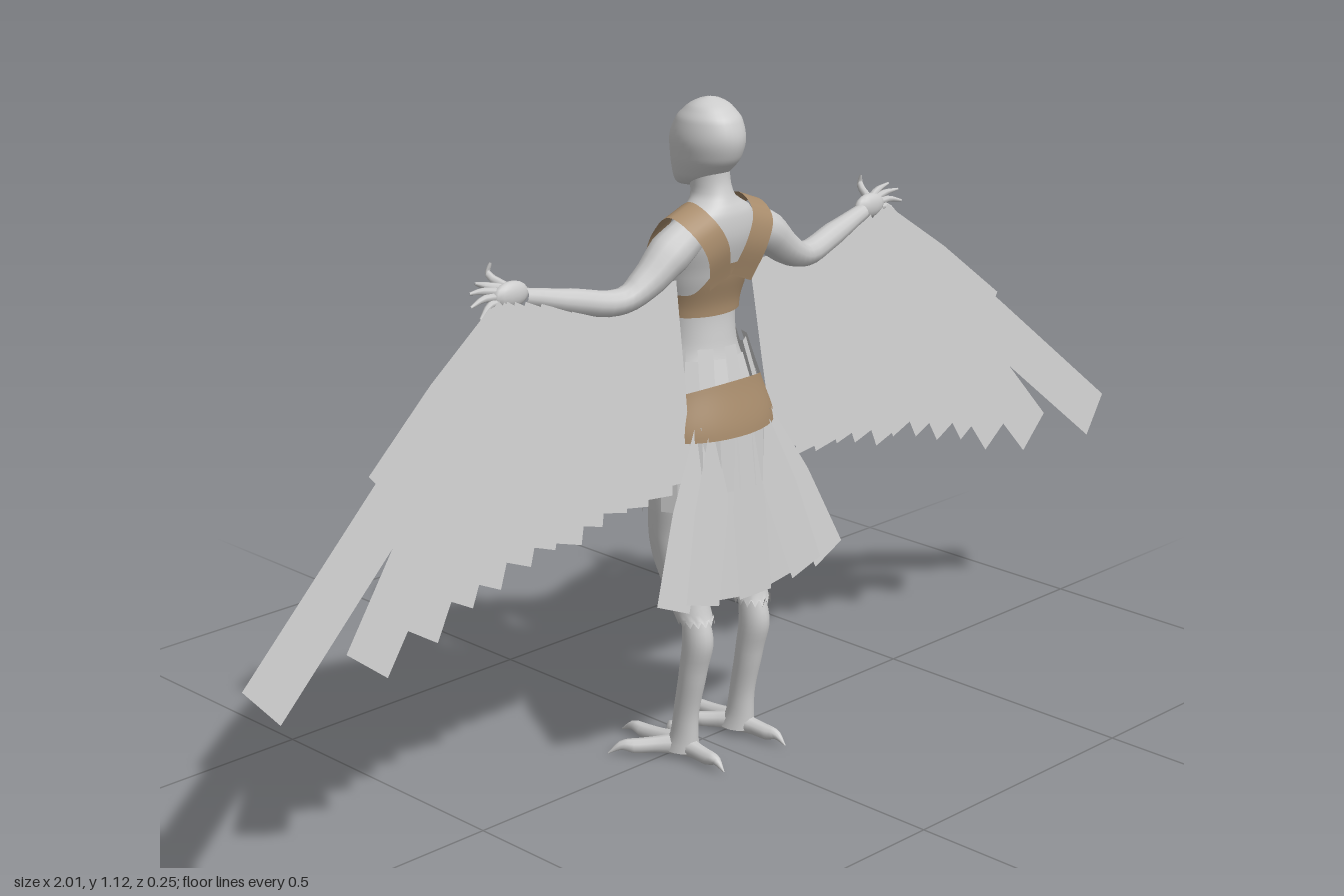
import * as THREE from 'three';
import { mergeGeometries, mergeVertices } from 'three/addons/utils/BufferGeometryUtils.js';

const V = (x, y, z) => new THREE.Vector3(x, y, z);
const grey = new THREE.MeshStandardMaterial({ color: 0xcccccc });
const thin = new THREE.MeshStandardMaterial({ color: 0xcccccc, side: THREE.DoubleSide });
const leather = new THREE.MeshStandardMaterial({ color: 0xa88c6c, side: THREE.DoubleSide });

function add(parent, name, geometry, material = grey) {
  const mesh = new THREE.Mesh(geometry, material);
  mesh.name = name;
  parent.add(mesh);
  return mesh;
}

// Smooth grid surface from a rule fn(u, v), u and v in 0..1
function surface(fn, nu, nv) {
  const pos = [], idx = [];
  for (let j = 0; j <= nv; j++)
    for (let i = 0; i <= nu; i++) pos.push(...fn(i / nu, j / nv).toArray());
  for (let j = 0; j < nv; j++)
    for (let i = 0; i < nu; i++) {
      const a = j * (nu + 1) + i, c = a + nu + 1;
      idx.push(a, c, a + 1, a + 1, c, c + 1);
    }
  const raw = new THREE.BufferGeometry();
  raw.setAttribute('position', new THREE.Float32BufferAttribute(pos, 3));
  raw.setIndex(idx);
  const g = mergeVertices(raw, 1e-5);
  g.computeVertexNormals();
  return g;
}

// Smoothly interpolated cross-section: [y, centre x, half width, z front, z back]
function sectionAt(secs, y) {
  let i = 0;
  while (i < secs.length - 2 && y > secs[i + 1][0]) i++;
  const at = k => secs[Math.min(Math.max(k, 0), secs.length - 1)];
  const p = at(i), q = at(i + 1), t = THREE.MathUtils.clamp((y - p[0]) / (q[0] - p[0]), 0, 1);
  return p.map((a, k) => {
    if (k === 0) return y;
    const slope = (m, n) => (n[k] - m[k]) / Math.max(n[0] - m[0], 1e-4) * (q[0] - p[0]) * 0.8;
    const m0 = i ? slope(at(i - 1), q) : q[k] - a;
    const m1 = i < secs.length - 2 ? slope(p, at(i + 2)) : q[k] - a;
    const t2 = t * t, t3 = t2 * t;
    return (2 * t3 - 3 * t2 + 1) * a + (t3 - 2 * t2 + t) * m0 + (3 * t2 - 2 * t3) * q[k] + (t3 - t2) * m1;
  });
}
function ringPoint(secs, y, angle, grow = 0) {
  const [, cx, hx, z0, z1] = sectionAt(secs, y);
  return V(cx + (hx + grow) * Math.cos(angle), y, (z0 + z1) / 2 + ((z1 - z0) / 2 + grow) * Math.sin(angle));
}
function loft(secs, nu = 28, nv = 36, jag = 0) {
  const y0 = secs[0][0], y1 = secs[secs.length - 1][0];
  return surface((u, v) => {
    const p = ringPoint(secs, y0 + (y1 - y0) * v, u * Math.PI * 2);
    if (v === 0) p.y += jag * (Math.round(u * nu) % 2);
    return p;
  }, nu, nv);
}

// Tapered round limb through points, with a radius for each point
function limb(points, radii, sides = 12, steps = 20) {
  const curve = new THREE.CatmullRomCurve3(points.map(p => V(...p)));
  const f = curve.computeFrenetFrames(steps);
  return surface((u, v) => {
    const s = Math.min(v * (radii.length - 1), radii.length - 1.0001), k = Math.floor(s);
    const r = THREE.MathUtils.lerp(radii[k], radii[k + 1], s - k), a = u * Math.PI * 2, i = Math.round(v * steps);
    return curve.getPoint(v).addScaledVector(f.normals[i], r * Math.cos(a))
      .addScaledVector(f.binormals[i], -r * Math.sin(a));
  }, sides, steps);
}

// Flat square-ended feather
function feather(root, tip, w0, w1, facing) {
  const side = tip.clone().sub(root).cross(facing).normalize();
  return surface((u, v) => root.clone().lerp(tip, v)
    .addScaledVector(side, (u - 0.5) * THREE.MathUtils.lerp(w0, w1, Math.min(1, v * 2))), 1, 2);
}

const torso = [
  [0.46, 0, 0.08, -0.035, 0.06], [0.52, 0, 0.108, -0.052, 0.08], [0.58, 0, 0.11, -0.058, 0.08],
  [0.66, 0, 0.085, -0.064, 0.062], [0.72, 0, 0.068, -0.066, 0.047], [0.78, 0, 0.07, -0.06, 0.042],
  [0.84, 0, 0.082, -0.05, 0.058], [0.9, 0, 0.09, -0.03, 0.074], [0.94, 0, 0.07, -0.012, 0.072],
  [0.965, 0, 0.036, -0.014, 0.06], [0.99, 0, 0.031, -0.018, 0.052], [1.03, 0, 0.03, -0.015, 0.05]];
const head = [
  [0.974, 0, 0.004, -0.045, -0.035], [0.98, 0, 0.024, -0.053, 0.005], [1.0, 0, 0.04, -0.056, 0.045],
  [1.03, 0, 0.05, -0.058, 0.072], [1.06, 0, 0.054, -0.057, 0.08], [1.09, 0, 0.049, -0.043, 0.072],
  [1.11, 0, 0.036, -0.022, 0.053], [1.12, 0, 0.022, -0.004, 0.034], [1.125, 0, 0.001, 0.013, 0.016]];
const thigh = [
  [0.25, 0.068, 0.03, 0.022, 0.083], [0.3, 0.068, 0.031, -0.012, 0.07], [0.36, 0.068, 0.036, -0.04, 0.054],
  [0.4, 0.066, 0.041, -0.047, 0.048], [0.46, 0.062, 0.048, -0.048, 0.06], [0.54, 0.056, 0.053, -0.047, 0.074]];
const shin = [
  [0.012, 0.068, 0.028, -0.016, 0.05], [0.04, 0.068, 0.022, -0.002, 0.05], [0.08, 0.068, 0.02, 0.005, 0.052],
  [0.16, 0.068, 0.023, 0.02, 0.07], [0.22, 0.068, 0.024, 0.028, 0.085], [0.28, 0.068, 0.018, 0.02, 0.07]];

// Torso surface with the chest shaped in
function bodyPoint(y, angle, grow = 0) {
  const p = ringPoint(torso, y, angle, grow);
  if (Math.sin(angle) < 0)
    p.z -= 0.034 * Math.exp(-(((Math.abs(p.x) - 0.037) / 0.028) ** 2) - ((y - 0.84) / 0.035) ** 2);
  return p;
}
// Close-fitting garment between two edge heights that depend on the angle
const garment = (bottom, top, grow) => surface((u, v) => {
  const a = u * Math.PI * 2;
  return bodyPoint(THREE.MathUtils.lerp(bottom(a), top(a), v), a, grow);
}, 64, 12);

function makeSide() {
  const side = new THREE.Group();
  // Arm and hand
  add(side, 'arm', limb([[0.06, 0.915, 0.032], [0.11, 0.888, 0.034], [0.165, 0.848, 0.032], [0.215, 0.828, 0.027],
    [0.3, 0.843, 0.012], [0.39, 0.866, 0]], [0.032, 0.036, 0.027, 0.022, 0.021, 0.014]));
  const palm = add(side, 'palm', new THREE.SphereGeometry(1, 14, 10));
  palm.scale.set(0.035, 0.022, 0.014);
  palm.position.set(0.413, 0.872, -0.004);
  const fingers = [[0.475, 0.9, -0.015], [0.492, 0.888, -0.008], [0.495, 0.868, -0.002], [0.48, 0.847, 0.002], [0.425, 0.92, -0.035]]
    .map(([x, y, z], i) => limb([[0.415, 0.882 - i % 4 * 0.007, -0.005],
      [(x + 0.43) / 2, (y + 0.877) / 2 + 0.003, z - 0.004], [x, y, z]], [0.008, 0.006, 0.002], 7, 6));
  add(side, 'fingers', mergeGeometries(fingers));

  // Leg, foot and clawed toes
  add(side, 'thigh', loft(thigh, 28, 26, 0.014), thin);
  add(side, 'shin', loft(shin, 20, 20));
  const toes = [[0.16, -0.068], [0.072, -0.125], [0.012, -0.07], [0.075, 0.125]].map(([x, z]) => {
    const cx = 0.068, cz = 0.018, mix = (t, y) => [cx + (x - cx) * t, y, cz + (z - cz) * t];
    return limb([mix(0, 0.02), mix(0.35, 0.018), mix(0.65, 0.016), mix(0.8, 0.018), mix(1, 0.003)],
      [0.02, 0.014, 0.013, 0.009, 0.001], 9, 14);
  });
  add(side, 'toes', mergeGeometries(toes));

  // Wing feathers hang from the arm and fan outwards
  const roots = new THREE.CatmullRomCurve3([V(0.12, 0.84, 0), V(0.21, 0.815, 0), V(0.31, 0.835, 0), V(0.39, 0.85, 0), V(0.425, 0.845, 0)]);
  const tips = [[0.135, 0.515], [0.185, 0.505], [0.235, 0.5], [0.285, 0.505], [0.335, 0.495], [0.385, 0.48], [0.435, 0.485],
    [0.49, 0.475], [0.55, 0.455], [0.61, 0.445], [0.685, 0.415], [0.785, 0.395], [0.975, 0.385]];
  const place = (x, y, lift) => V(x, y, 0.008 + (0.87 - y) * 0.15 + lift);
  const facing = V(0, 0.15, 1);
  const wing = tips.map(([x, y], i) => {
    const r = roots.getPoint(i / (tips.length - 1)), lift = (i % 2) * 0.004 + 0.012 * (1 - i / 12);
    return feather(place(r.x, r.y, lift), place(x, y, lift), 0.07, i > 9 ? 0.088 : 0.075, facing);
  });
  // Shorter covering feathers near the leading edge
  [[0.705, 0.635], [0.6, 0.6], [0.53, 0.575], [0.46, 0.58], [0.38, 0.6], [0.3, 0.62]].forEach(([x, y], i) =>
    wing.push(feather(place(0.435 - i * 0.03, 0.85 - i * 0.005, -0.006), place(x, y, -0.006 - i % 2 * 0.003), 0.05, 0.075, facing)));
  add(side, 'wing', mergeGeometries(wing), thin);

  // Shoulder strap running to the middle of the back
  const strap = new THREE.CatmullRomCurve3([V(0.05, 0.865, -0.062), V(0.064, 0.915, -0.028), V(0.077, 0.953, 0.025),
    V(0.068, 0.93, 0.07), V(0.046, 0.89, 0.081), V(0.024, 0.83, 0.064)]);
  add(side, 'strap', surface((u, v) => strap.getPoint(v).add(
    V(0.9, -0.35, 0).multiplyScalar((u - 0.5) * 0.052)), 2, 24), leather);
  return side;
}

export function createModel() {
  const model = new THREE.Group();
  model.name = 'wingedFigure';
  add(model, 'torso', surface((u, v) => bodyPoint(0.46 + 0.57 * v, u * Math.PI * 2), 48, 60));
  add(model, 'head', loft(head, 32, 40));

  const left = makeSide(), right = makeSide();
  left.name = 'leftSide';
  right.name = 'rightSide';
  right.scale.x = -1;
  model.add(left, right);

  // Top with a low neck and open sides
  add(model, 'top', garment(() => 0.77, a => {
    const c = Math.abs(Math.cos(a)), s = Math.sin(a);
    return s < 0 ? 0.855 + 0.045 * Math.sin(Math.min(c / 0.9, 1) * Math.PI) - 0.045 * c ** 6
      : 0.86 - 0.05 * THREE.MathUtils.smoothstep(c, 0.2, 0.8);
  }, 0.006), leather);

  // Belt, tall at the back and narrow at the front, with an oval plate
  add(model, 'belt', garment(() => 0.575, a => 0.635 + 0.03 * Math.sin(a), 0.02), leather);
  const plate = add(model, 'beltPlate', new THREE.SphereGeometry(1, 28, 16));
  plate.scale.set(0.05, 0.055, 0.014);
  plate.position.set(0, 0.6, -0.072);

  // Feathers above and below the belt
  const skirt = [];
  const count = 22;
  for (let i = 0; i < count; i++) {
    const a = (i + 0.5) / count * Math.PI * 2, out = V(Math.cos(a), 0, Math.sin(a));
    const odd = i % 2;
    skirt.push(feather(ringPoint(torso, 0.63, a, 0.016), ringPoint(torso, 0.7 + 0.02 * odd, a, 0.012 + 0.004 * odd), 0.03, 0.026, out));
    const hem = ringPoint(torso, 0.58, a, 0.024 - 0.006 * odd);
    hem.y = 0.485 - 0.03 * odd - (out.z < -0.3 && Math.abs(out.x) > 0.35 ? 0.02 : 0);
    if (Math.abs(out.x) > 0.25) skirt.push(feather(ringPoint(torso, 0.6, a, 0.016), hem, 0.036, 0.042, out));
  }
  add(model, 'skirtFeathers', mergeGeometries(skirt), thin);

  // Tail fan
  const tail = [];
  for (let i = -3; i <= 3; i++) {
    const lift = (i & 1) * 0.006;
    tail.push(feather(V(i * 0.022, 0.6, 0.094 - Math.abs(i) * 0.006 - lift),
      V(i * 0.062, 0.302 + Math.abs(i) * 0.007, 0.124 - lift), 0.04, 0.075, V(0, 0.15, 1)));
  }
  add(model, 'tailFeathers', mergeGeometries(tail), thin);
  return model;
}
